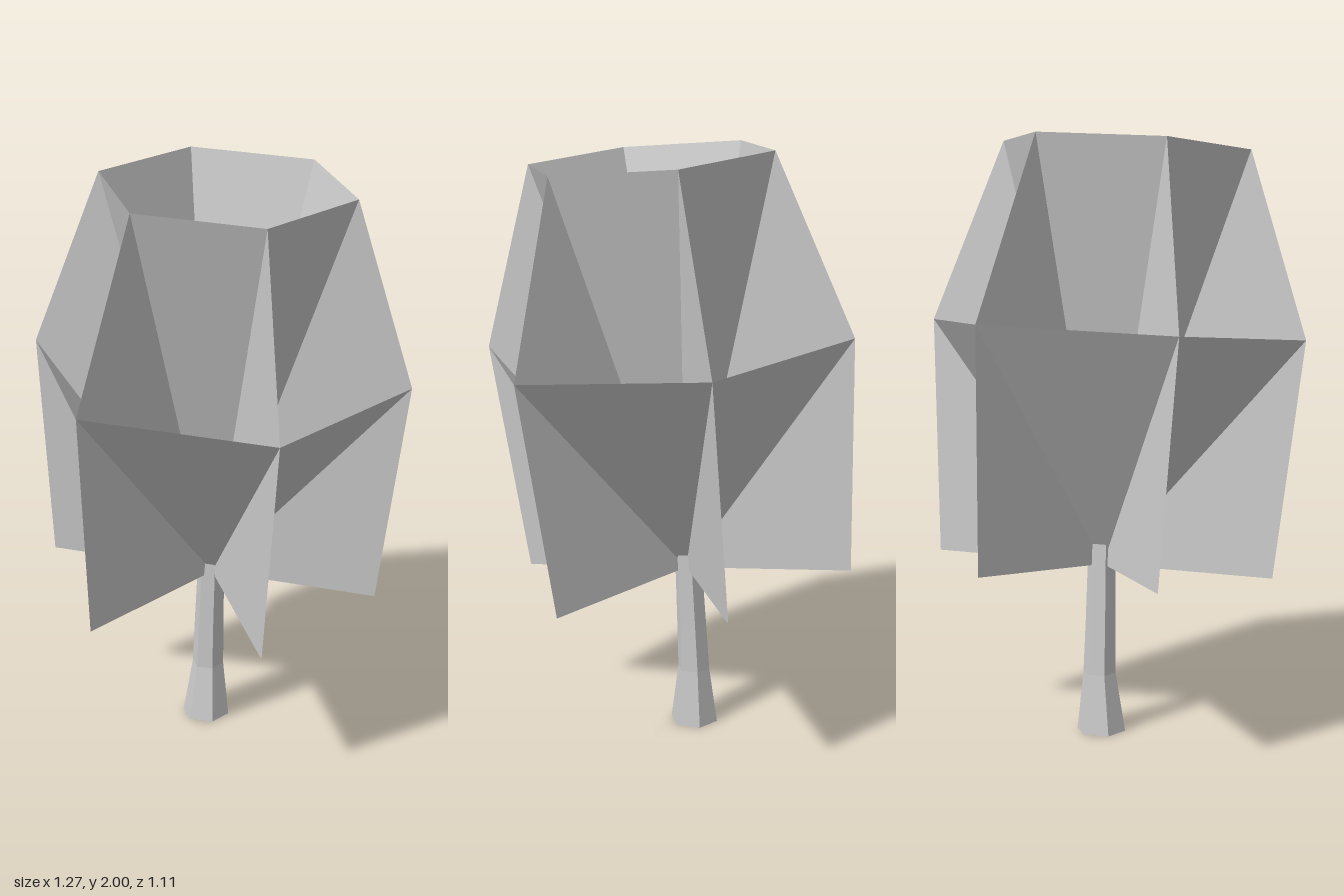
import * as THREE from 'three';

const material = new THREE.MeshStandardMaterial({
  color: 0xcccccc, flatShading: true, side: THREE.DoubleSide,
});

const SIDES = 6;

function addMesh(parent, name, geometry) {
  const mesh = new THREE.Mesh(geometry, material);
  mesh.name = name;
  parent.add(mesh);
  return mesh;
}

// Open six-sided funnel standing on its tip, with corners on the x axis
function funnel(radius, height) {
  return new THREE.ConeGeometry(radius, height, SIDES, 1, true)
    .rotateX(Math.PI)
    .translate(0, height / 2, 0)
    .rotateY(Math.PI / 6);
}

// Hollow trunk, from rings of [y, centre x, centre z, radius], top first
function trunkGeometry() {
  const rings = [
    [0.7, -0.035, -0.05, 0.045],
    [0.37, -0.049, -0.06, 0.052],
    [0.2, -0.055, -0.066, 0.056],
    [0, -0.062, -0.062, 0.083],
  ];
  const geometry = new THREE.CylinderGeometry(1, 1, 1, SIDES, rings.length - 1, true)
    .rotateY(Math.PI / 6);
  const pos = geometry.attributes.position;
  for (let i = 0; i < pos.count; i++) {
    const [y, cx, cz, r] = rings[Math.round((0.5 - pos.getY(i)) * (rings.length - 1))];
    pos.setXYZ(i, cx + pos.getX(i) * r, y, cz + pos.getZ(i) * r);
  }
  geometry.computeVertexNormals();
  return geometry;
}

export function createModel() {
  const model = new THREE.Group();
  model.name = 'tree';

  addMesh(model, 'trunk', trunkGeometry());

  // Crown leans slightly to the front and left
  const crown = new THREE.Group();
  crown.name = 'crown';
  crown.position.set(-0.035, 0.568, -0.047);
  crown.rotation.set(0.073, 0, -0.054);
  model.add(crown);

  // Wide lower funnel and tall narrow one nested inside it
  addMesh(crown, 'lowerFoliage', funnel(0.637, 0.79));
  addMesh(crown, 'upperFoliage', funnel(0.42, 1.4));

  // Radial leaf fins joining the corners of both funnels
  const outline = new THREE.Shape([
    new THREE.Vector2(0, 0),
    new THREE.Vector2(0.574, 0),
    new THREE.Vector2(0.637, 0.79),
    new THREE.Vector2(0.42, 1.4),
  ]);
  const finGeometry = new THREE.ShapeGeometry(outline);
  for (let i = 0; i < SIDES; i++) {
    const fin = addMesh(crown, 'leafFin' + (i + 1), finGeometry);
    fin.rotation.y = (i / SIDES) * Math.PI * 2;
  }

  return model;
}
